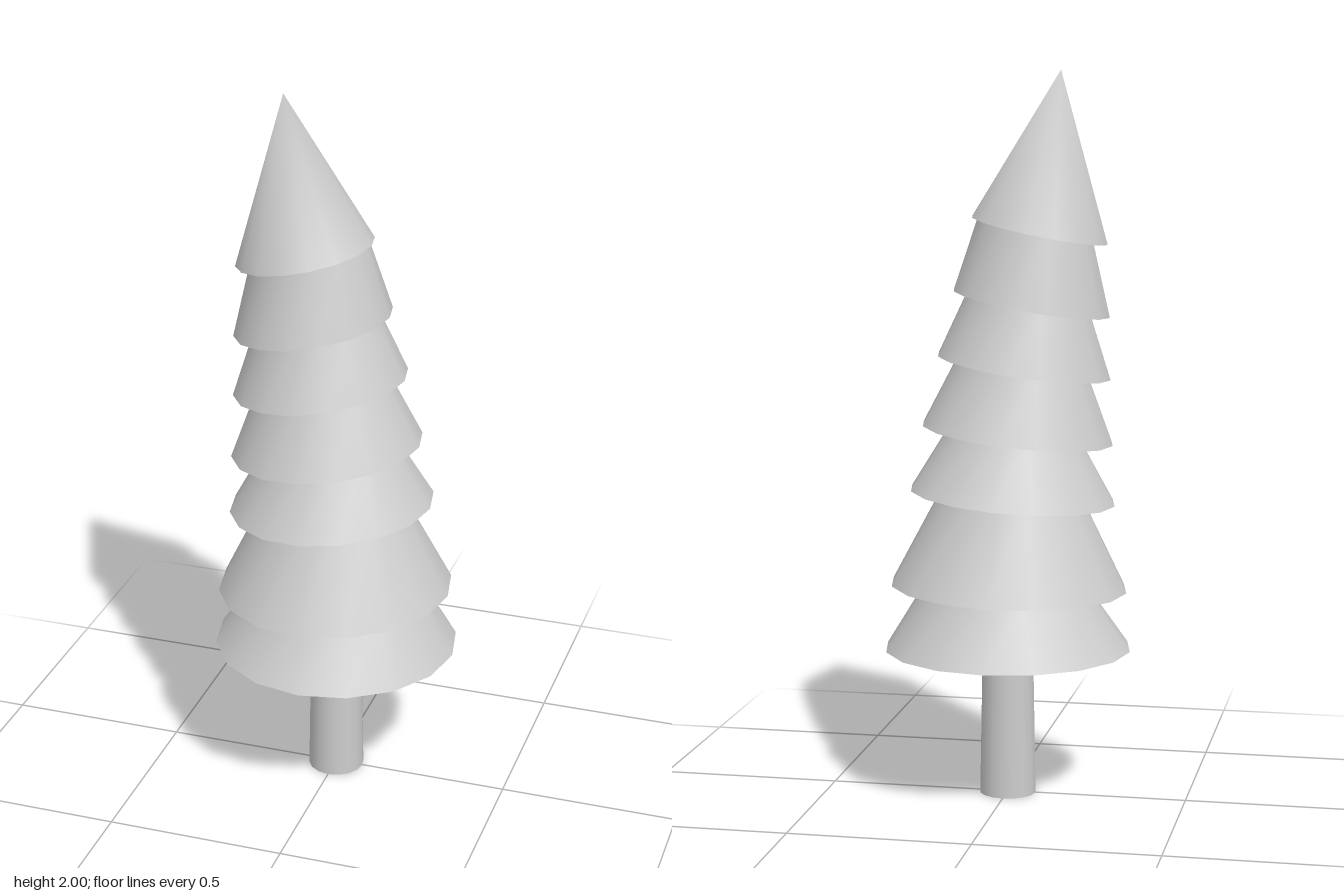
import * as THREE from 'three';

const SIDES = 16;

// Tilted circle whose leftmost and rightmost points (x, y) are given
function ring([x0, y0], [x1, y1]) {
  const cx = (x0 + x1) / 2, cy = (y0 + y1) / 2;
  const dx = (x1 - x0) / 2, dy = (y1 - y0) / 2;
  const r = Math.hypot(dx, dy);
  const points = [];
  for (let i = 0; i < SIDES; i++) {
    const a = (i / SIDES) * Math.PI * 2;
    points.push([cx + dx * Math.cos(a), cy + dy * Math.cos(a), r * Math.sin(a)]);
  }
  return points;
}

// Smooth sloped side with a sharp, flat underside; top is a ring or one apex point
function tierGeometry(rim, top) {
  const positions = [...rim, ...top, ...rim];
  const index = [];
  for (let i = 0; i < SIDES; i++) {
    const j = (i + 1) % SIDES;
    if (top.length === 1) {
      index.push(i, SIDES, j);
    } else {
      index.push(i, SIDES + i, j, j, SIDES + i, SIDES + j);
    }
  }
  const base = SIDES + top.length;
  for (let i = 1; i < SIDES - 1; i++) index.push(base, base + i, base + i + 1);
  const g = new THREE.BufferGeometry();
  g.setAttribute('position', new THREE.Float32BufferAttribute(positions.flat(), 3));
  g.setIndex(index);
  g.computeVertexNormals();
  return g;
}

export function createModel() {
  const model = new THREE.Group();
  model.name = 'coniferTree';
  const grey = new THREE.MeshStandardMaterial({ color: 0xcccccc });
  grey.name = 'lightGrey';

  // Trunk
  const trunk = new THREE.Mesh(new THREE.CylinderGeometry(0.071, 0.079, 0.43, SIDES), grey);
  trunk.name = 'trunk';
  trunk.position.y = 0.215;
  model.add(trunk);

  // Foliage tiers, leaning more with height: rim left, rim right, top left, top right
  const tiers = [
    [[-0.342, 0.413], [0.342, 0.413], [-0.222, 0.581], [0.228, 0.598]],
    [[-0.331, 0.577], [0.325, 0.598], [-0.208, 0.83], [0.184, 0.86]],
    [[-0.297, 0.818], [0.27, 0.862], [-0.198, 0.998], [0.16, 1.038]],
    [[-0.291, 0.985], [0.236, 1.042], [-0.22, 1.178], [0.138, 1.228]],
    [[-0.284, 1.165], [0.193, 1.233], [-0.226, 1.347], [0.114, 1.4]],
    [[-0.281, 1.335], [0.149, 1.41], [-0.234, 1.541], [0.083, 1.605]],
  ];
  tiers.forEach(([rimL, rimR, topL, topR], i) => {
    const mesh = new THREE.Mesh(tierGeometry(ring(rimL, rimR), ring(topL, topR)), grey);
    mesh.name = `foliageTier${i + 1}`;
    model.add(mesh);
  });

  // Pointed crown
  const crown = new THREE.Mesh(
    tierGeometry(ring([-0.274, 1.532], [0.098, 1.608]), [[-0.145, 2, 0]]), grey);
  crown.name = 'crown';
  model.add(crown);

  return model;
}
